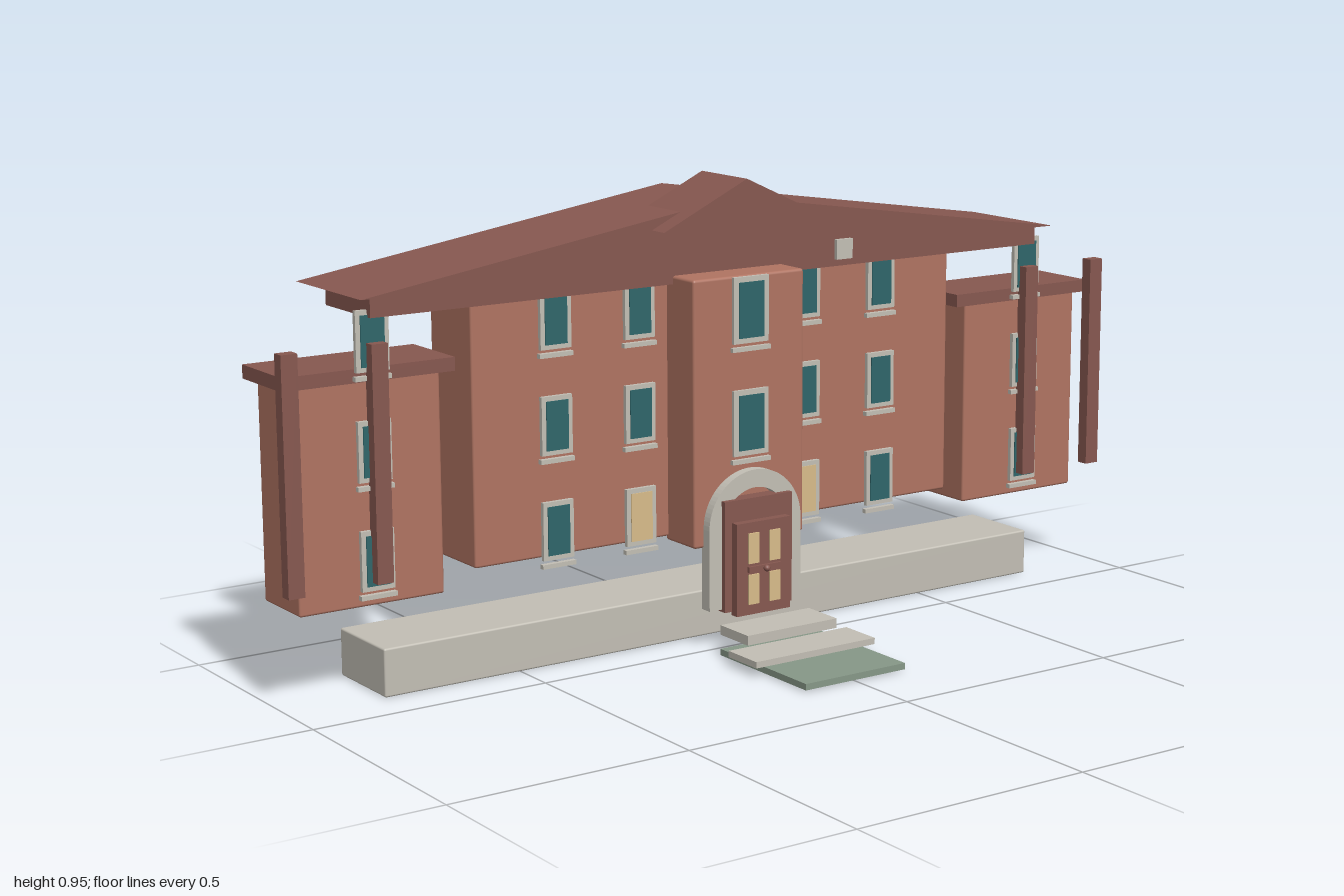
import * as THREE from 'three';
import { RoundedBoxGeometry } from 'three/addons/geometries/RoundedBoxGeometry.js';

const mat = (name, color) => Object.assign(new THREE.MeshStandardMaterial({ color }), { name });

export function createModel() {
  const brick = mat('brick', 0xb07462);
  const roofRed = mat('roof red', 0x875850);
  const stone = mat('stone', 0xc3bfb5);
  const glass = mat('window glass', 0x2f666a);
  const warm = mat('lit glass', 0xd8bc8a);
  const mossy = mat('path green', 0x879888);

  const model = new THREE.Group();
  model.name = 'building';

  const add = (name, geometry, material, parent = model) => {
    const mesh = new THREE.Mesh(geometry, material);
    mesh.name = name;
    parent.add(mesh);
    return mesh;
  };
  // Box given by its limits along each axis; r rounds the edges
  const box = (name, material, [x0, x1], [y0, y1], [z0, z1], r = 0, parent = model) => {
    const size = [x1 - x0, y1 - y0, z1 - z0];
    const geometry = r ? new RoundedBoxGeometry(...size, 2, r) : new THREE.BoxGeometry(...size);
    const mesh = add(name, geometry, material, parent);
    mesh.position.set((x0 + x1) / 2, (y0 + y1) / 2, (z0 + z1) / 2);
    return mesh;
  };
  // Triangular roof running front to back
  const gable = (name, halfWidth, y0, y1, z0, z1) => {
    const shape = new THREE.Shape();
    shape.moveTo(-halfWidth, y0);
    shape.lineTo(halfWidth, y0);
    shape.lineTo(0, y1);
    shape.closePath();
    const geometry = new THREE.ExtrudeGeometry(shape, { depth: z1 - z0, bevelEnabled: false });
    add(name, geometry, roofRed).position.z = z0;
  };
  // Framed window with sill, centred on x, y; z is the back of the frame
  const addWindow = (x, y, z, w, h, pane) => {
    const g = new THREE.Group();
    g.name = 'window';
    g.position.set(x, y, z);
    model.add(g);
    box('windowFrame', stone, [-w / 2, w / 2], [-h / 2, h / 2], [0, 0.009], 0, g);
    box('windowPane', pane, [-w * 0.36, w * 0.36], [-h * 0.42, h * 0.42], [0.008, 0.011], 0, g);
    box('windowSill', stone, [-w * 0.55, w * 0.55], [-h / 2 - 0.016, -h / 2 - 0.007], [0, 0.011], 0, g);
  };

  // Base and main walls
  box('foundation', stone, [-0.8, 0.8], [0, 0.097], [-0.275, -0.093], 0.004);
  box('mainWalls', brick, [-0.585, 0.585], [0.217, 0.745], [-0.273, -0.115], 0.005);
  box('entranceBay', brick, [-0.135, 0.135], [0.208, 0.755], [-0.125, -0.02], 0.006);

  // Roofs
  box('eaves', roofRed, [-0.81, 0.81], [0.738, 0.777], [-0.273, -0.093]);
  gable('mainRoof', 0.84, 0.778, 0.905, -0.337, -0.071);
  gable('entranceGable', 0.198, 0.854, 0.946, -0.187, -0.028);
  box('roofPlaque', stone, [0.21, 0.25], [0.767, 0.808], [-0.018, -0.009]);

  // Side wings, each with a cap and two posts
  for (const s of [-1, 1]) {
    const span = (c, w) => [s * c - w / 2, s * c + w / 2];
    box('wing', brick, span(0.802, 0.31), [0.176, 0.617], [-0.277, -0.128], 0.005);
    box('wingCap', roofRed, span(0.8, 0.365), [0.613, 0.64], [-0.285, -0.12]);
    for (const x of [0.797, 0.983]) {
      box('post', roofRed, span(x, 0.034), [0.228, 0.69], [-0.109, -0.083]);
    }
    // Three rows of windows
    for (const x of [0.205, 0.4, 0.8]) {
      [0.27, 0.482, 0.693].forEach((y, row) => {
        addWindow(s * x, y, -0.115, 0.07, 0.118, x < 0.3 && row === 0 ? warm : glass);
      });
    }
  }
  for (const y of [0.455, 0.685]) addWindow(0, y, -0.022, 0.085, 0.135, glass);

  // Stone arch around the entrance
  const arch = new THREE.Shape();
  arch.moveTo(-0.113, 0.08);
  arch.lineTo(-0.078, 0.08);
  arch.lineTo(-0.078, 0.245);
  arch.absarc(0, 0.245, 0.078, Math.PI, 0, true);
  arch.lineTo(0.078, 0.08);
  arch.lineTo(0.113, 0.08);
  arch.lineTo(0.113, 0.247);
  arch.absarc(0, 0.247, 0.113, 0, Math.PI, false);
  arch.closePath();
  add('entranceArch', new THREE.ExtrudeGeometry(arch, { depth: 0.027, bevelEnabled: false, curveSegments: 20 }), stone)
    .position.z = -0.026;

  // Door
  box('doorFrame', roofRed, [-0.083, 0.083], [0.075, 0.305], [-0.02, 0.012]);
  box('door', roofRed, [-0.066, 0.066], [0.068, 0.26], [0.01, 0.03]);
  for (const x of [-0.026, 0.026]) {
    for (const [y0, y1] of [[0.09, 0.152], [0.175, 0.238]]) {
      box('doorPane', warm, [x - 0.013, x + 0.013], [y0, y1], [0.029, 0.034]);
    }
  }
  box('doorRail', roofRed, [-0.04, 0.04], [0.157, 0.169], [0.03, 0.036]);
  add('doorKnob', new THREE.SphereGeometry(0.007, 12, 8), roofRed).position.set(0, 0.163, 0.041);

  // Steps and path
  box('upperStep', stone, [-0.11, 0.11], [0.04, 0.06], [0.035, 0.13]);
  box('lowerStep', stone, [-0.146, 0.146], [0.019, 0.032], [0.115, 0.21]);
  box('path', mossy, [-0.121, 0.121], [0.003, 0.016], [0.05, 0.34]);

  return model;
}
